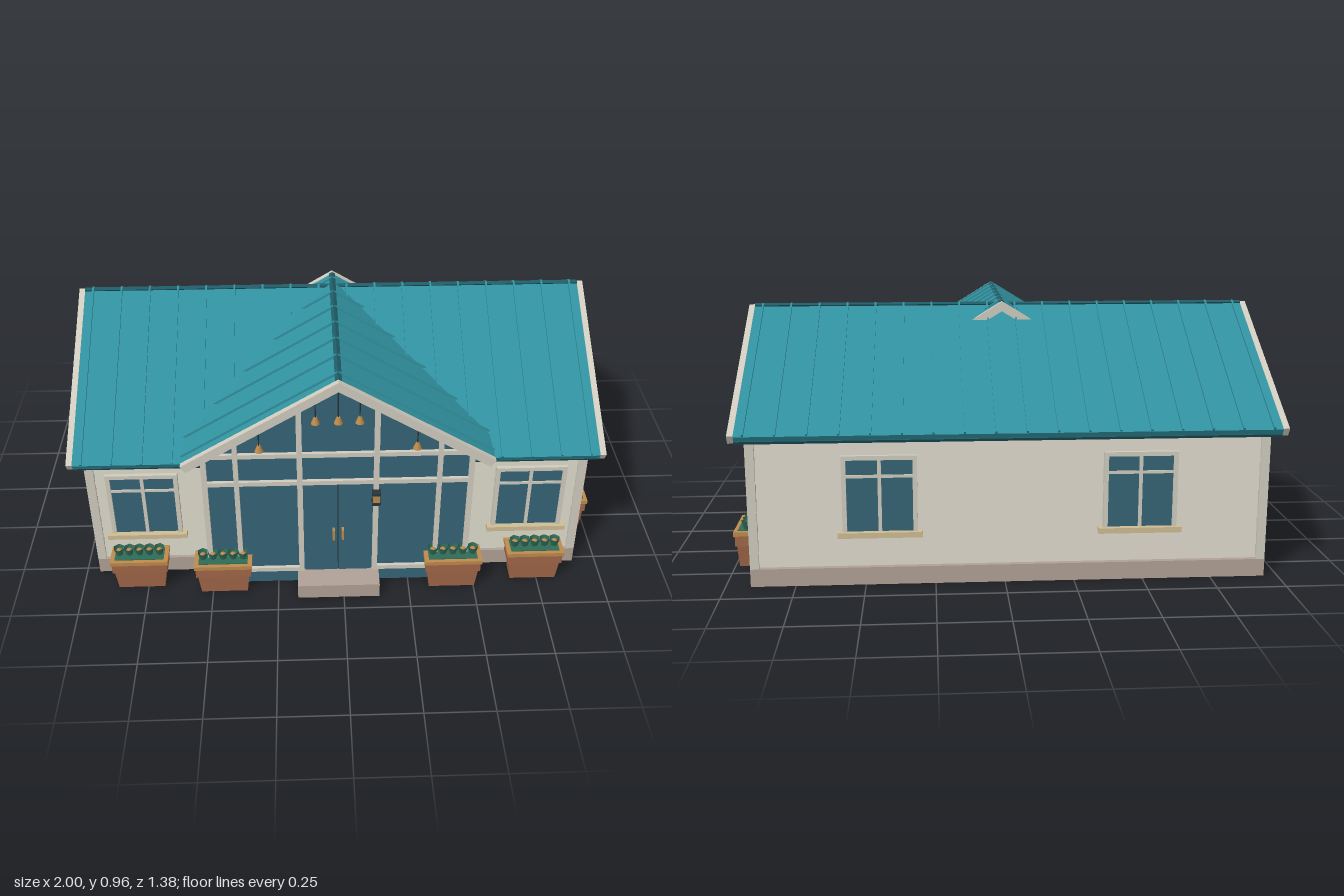
import * as THREE from 'three';

const mat = (name, color, side = THREE.FrontSide) => {
  const m = new THREE.MeshStandardMaterial({ color, side });
  m.name = name;
  return m;
};

export function createModel() {
  const cream = mat('cream paint', 0xd0ccbf);
  const teal = mat('teal roof', 0x3192a0);
  const darkTeal = mat('dark teal trim', 0x1f5c66);
  const glass = mat('blue glass', 0x366375);
  const stone = mat('foundation stone', 0xb0a196);
  const clay = mat('terracotta', 0xa06748);
  const wood = mat('light wood', 0xbd8a4c);
  const sillPaint = mat('sill tan', 0xcfbd95);
  const green = mat('leaf green', 0x2f6b56, THREE.DoubleSide);
  const dark = mat('dark metal', 0x283338);

  const add = (parent, name, geo, material, x = 0, y = 0, z = 0) => {
    const m = new THREE.Mesh(geo, material);
    m.name = name;
    m.position.set(x, y, z);
    parent.add(m);
    return m;
  };
  const box = (parent, name, material, w, h, d, x, y, z) =>
    add(parent, name, new THREE.BoxGeometry(w, h, d), material, x, y, z);
  const group = (parent, name, x = 0, y = 0, z = 0) => {
    const g = new THREE.Group();
    g.name = name;
    g.position.set(x, y, z);
    parent.add(g);
    return g;
  };
  // Profile in x/y, extruded along z from z0 to z1
  const prism = (pts, z0, z1) => {
    const s = new THREE.Shape(pts.map(p => new THREE.Vector2(p[0], p[1])));
    return new THREE.ExtrudeGeometry(s, { depth: z1 - z0, bevelEnabled: false }).translate(0, 0, z0);
  };

  const model = new THREE.Group();
  model.name = 'house';
  const house = group(model, 'houseBody', -0.02, 0, -0.06);
  const WX = 0.91, WZ = 0.56; // wall half sizes

  // Foundation and entrance step
  box(house, 'foundation', stone, 1.86, 0.065, 1.16, 0, 0.0325, 0);
  box(house, 'entranceStep', stone, 0.31, 0.06, 0.2, 0, 0.03, 0.65);

  // Core walls and plain gable ends
  box(house, 'wallCore', cream, WX * 2, 0.52, WZ * 2, 0, 0.32, 0);
  const gableWall = add(house, 'gableEnds',
    prism([[-0.575, 0.575], [0.575, 0.575], [0, 0.915]], -0.925, 0.925), cream);
  gableWall.rotation.y = Math.PI / 2;
  for (const sx of [-1, 1]) for (const sz of [-1, 1])
    box(house, 'cornerTrim', cream, 0.032, 0.515, 0.032, sx * 0.914, 0.3225, sz * 0.564);

  // Clapboards with a sawtooth section, facing local +z
  const siding = (parent, length, dist) => {
    const n = 10, y0 = 0.07, h = 0.51 / n, pts = [[-0.005, y0]];
    for (let i = 0; i < n; i++) pts.push([0.013, y0 + i * h], [0.002, y0 + (i + 1) * h]);
    pts.push([-0.005, y0 + n * h]);
    add(parent, 'siding', prism(pts, -length / 2, length / 2), cream, 0, 0, dist).rotation.y = -Math.PI / 2;
  };

  const makeWindow = (parent, x, z) => {
    const g = group(parent, 'window', x, 0, z);
    const w = 0.266, yb = 0.195, yt = 0.478, ym = (yb + yt) / 2, hh = yt - yb;
    box(g, 'windowGlass', glass, w - 0.02, hh - 0.01, 0.02, 0, ym, 0.008);
    for (const s of [-1, 1]) box(g, 'windowJamb', cream, 0.016, hh, 0.03, s * (w / 2 - 0.008), ym, 0.012);
    box(g, 'windowHead', cream, w, 0.016, 0.03, 0, yt - 0.008, 0.012);
    box(g, 'mullion', cream, 0.013, hh, 0.014, 0, ym, 0.015);
    box(g, 'transom', cream, w, 0.011, 0.014, 0, 0.402, 0.015);
    box(g, 'windowSill', sillPaint, 0.3, 0.02, 0.046, 0, 0.19, 0.016);
  };

  const makePot = (parent, x, z) => {
    const g = group(parent, 'planter', x, 0, z);
    const body = new THREE.BoxGeometry(0.195, 0.085, 0.075);
    const p = body.attributes.position;
    for (let i = 0; i < p.count; i++)
      if (p.getY(i) < 0) p.setXYZ(i, p.getX(i) * 0.9, p.getY(i), p.getZ(i) * 0.85);
    body.computeVertexNormals();
    add(g, 'planterBody', body, clay, 0, 0.0425, 0);
    box(g, 'planterBand', clay, 0.208, 0.042, 0.086, 0, 0.104, 0);
    box(g, 'planterRim', wood, 0.218, 0.016, 0.096, 0, 0.131, 0);
    box(g, 'planting', green, 0.185, 0.01, 0.066, 0, 0.137, 0);
    for (let i = -2; i <= 2; i++) {
      const leaves = add(g, 'leaves', new THREE.CylinderGeometry(0.021, 0.01, 0.038, 6, 1, true), green, i * 0.038, 0.156, 0);
      leaves.rotation.y = i;
      add(g, 'bloom', new THREE.SphereGeometry(0.013, 8, 6), wood, i * 0.038, 0.157, 0);
    }
  };

  // Four sides: angle, distance, length, window offsets, planter offsets
  const sides = [
    ['front', 0, WZ, 1.8, [-0.725, 0.725], [-0.755, 0.755]],
    ['left', Math.PI / 2, WX, 1.1, [-0.275, 0.275], [-0.275, 0.275]],
    ['back', Math.PI, WZ, 1.8, [-0.465, 0.465], []],
    ['right', -Math.PI / 2, WX, 1.1, [-0.275, 0.275], []],
  ];
  for (const [name, angle, dist, length, windows, pots] of sides) {
    const side = group(house, name + 'Side');
    side.rotation.y = angle;
    siding(side, length, dist);
    windows.forEach(x => makeWindow(side, x, dist));
    pots.forEach(x => makePot(side, x, dist + (name === 'front' ? 0.078 : 0.062)));
  }
  for (const s of [-1, 1]) makePot(house, s * 0.436, 0.672);

  // Pitched roof running along local z: panels, barge boards, seams, ridge cap
  const makeRoof = (name, top, slope, half, thick, z0, z1, seams) => {
    const g = group(house, name);
    const a = Math.atan(slope), c = Math.cos(a), sn = Math.sin(a);
    const chevron = (t, d, h) => {
      const ey = t - slope * h;
      return [[0, t], [-h, ey], [-h + sn * d, ey - c * d], [0, t - d / c],
        [h - sn * d, ey - c * d], [h, ey]];
    };
    const b = 0.022;
    add(g, 'roofPanels', prism(chevron(top - 0.003, thick * 0.6, half), z0 + b, z1 - b), teal);
    add(g, 'roofSoffit', prism(chevron(top - 0.003 - thick * 0.6 / c, thick * 0.35, half - 0.008), z0 + b, z1 - b), darkTeal);
    add(g, 'bargeBoard', prism(chevron(top, thick, half), z0, z0 + b), cream);
    add(g, 'bargeBoard', prism(chevron(top, thick, half), z1 - b, z1), cream);
    const len = half / c;
    for (const z of seams) for (const s of [-1, 1]) {
      const rib = box(g, 'roofSeam', teal, len, 0.012, 0.007, s * half / 2, top - slope * half / 2, z);
      rib.rotation.z = -s * a;
    }
    add(g, 'ridgeCap', prism(chevron(top + 0.004, 0.008, 0.012), z0 + b, z1 - b), darkTeal);
    return g;
  };
  const mainSeams = Array.from({ length: 18 }, (_, i) => (i - 8.5) * 0.109);
  const porchSeams = Array.from({ length: 7 }, (_, i) => 0.65 - i * 0.113);
  makeRoof('mainRoof', 0.943, 0.6, 0.63, 0.034, -0.98, 0.98, mainSeams).rotation.y = Math.PI / 2;
  makeRoof('porchRoof', 0.957, 0.615, 0.56, 0.032, -0.09, 0.712, porchSeams);

  // Glazed entrance bay
  const bay = group(house, 'entranceBay');
  const F = 0.655;
  add(bay, 'bayGlass', prism([[-0.495, 0], [0.495, 0], [0.495, 0.618], [0, 0.922], [-0.495, 0.618]], 0.4, F), glass);
  const bar = (w, h, x, y) => box(bay, 'bayFrame', cream, w, h, 0.014, x, y, F + 0.006);
  for (const s of [-1, 1]) {
    bar(0.02, 0.56, s * 0.484, 0.34);
    bar(0.018, 0.62, s * 0.369, 0.37);
    bar(0.02, 0.775, s * 0.139, 0.4475);
    bar(0.35, 0.018, s * 0.314, 0.071);
    const rake = bar(0.58, 0.018, s * 0.248, 0.757);
    rake.rotation.z = -s * Math.atan(0.615);
    // Double door leaves and handles
    box(bay, 'doorLeaf', glass, 0.123, 0.42, 0.008, s * 0.064, 0.272, F + 0.004);
    box(bay, 'doorHandle', wood, 0.008, 0.045, 0.022, s * 0.017, 0.253, F + 0.02);
  }
  box(bay, 'doorSeam', dark, 0.003, 0.42, 0.003, 0, 0.272, F + 0.007);
  bar(0.98, 0.018, 0, 0.492);
  bar(0.98, 0.018, 0, 0.617);

  // Wall lantern beside the door
  const lantern = group(bay, 'wallLantern', 0.139, 0.43, F + 0.025);
  box(lantern, 'lanternBody', wood, 0.024, 0.035, 0.024, 0, 0, 0);
  for (const s of [-1, 1]) box(lantern, 'lanternCap', dark, 0.032, 0.01, 0.032, 0, s * 0.022, 0);

  // Pendant lamps under the porch gable
  for (const [x, y] of [[-0.28, 0.655], [-0.08, 0.772], [0, 0.772], [0.075, 0.772], [0.28, 0.655]]) {
    const lamp = group(bay, 'pendantLamp', x, y, F + 0.028);
    const drop = 0.925 - 0.615 * Math.abs(x) - y;
    add(lamp, 'lampShade', new THREE.CylinderGeometry(0.006, 0.016, 0.026, 10), wood, 0, 0.012, 0);
    add(lamp, 'lampCord', new THREE.CylinderGeometry(0.0025, 0.0025, drop, 6), dark, 0, drop / 2 + 0.01, 0);
  }
  return model;
}
